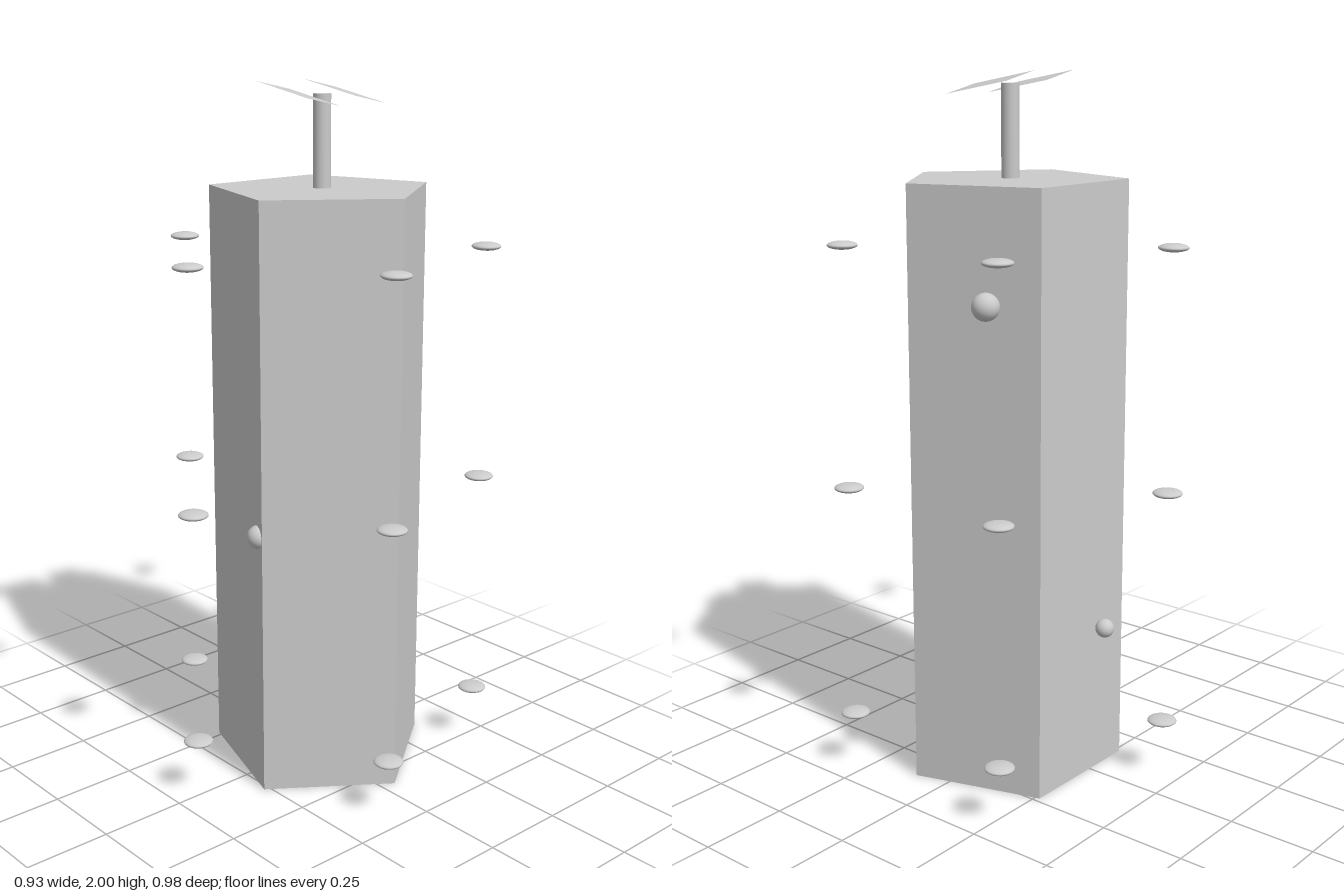
import * as THREE from 'three';

const AXIS_X = 0.043; // vertical axis of the tower
const BODY_HEIGHT = 1.71;

export function createModel() {
  const group = new THREE.Group();
  const material = new THREE.MeshStandardMaterial({ color: 0xcccccc });
  const flat = new THREE.MeshStandardMaterial({ color: 0xcccccc, flatShading: true });
  const thin = new THREE.MeshStandardMaterial({ color: 0xcccccc, side: THREE.DoubleSide });

  const add = (name, geometry, mat, x, y, z) => {
    const mesh = new THREE.Mesh(geometry, mat);
    mesh.name = name;
    mesh.position.set(x, y, z);
    group.add(mesh);
    return mesh;
  };

  // Five-sided tower with one corner facing forward
  add('towerBody', new THREE.CylinderGeometry(0.326, 0.326, BODY_HEIGHT, 5), flat, AXIS_X, BODY_HEIGHT / 2, 0);

  // Mast on the roof
  add('mast', new THREE.CylinderGeometry(0.025, 0.025, 0.255, 24), material, AXIS_X, BODY_HEIGHT + 0.1275, 0);

  // Two thin panels, both tilted the same way
  const panel = new THREE.PlaneGeometry(0.127, 0.214).rotateX(-Math.PI / 2);
  for (const [name, x] of [['rightPanel', -0.042], ['leftPanel', 0.129]]) {
    const mesh = add(name, panel, thin, x, 1.968, -0.002);
    mesh.rotation.set(0.172, 0, -0.208);
  }

  // Three rings of five floating discs around the tower
  const disc = new THREE.SphereGeometry(0.042, 24, 16).scale(1, 0.28, 1);
  for (const y of [0.173, 0.857, 1.54]) {
    for (let i = 0; i < 5; i++) {
      const a = Math.PI + (i * Math.PI * 2) / 5;
      add('floatingDisc', disc, material, AXIS_X + 0.469 * Math.cos(a), y, 0.469 * Math.sin(a));
    }
  }

  // Small balls on the walls: x, y, z, radius
  const balls = [
    [0.31, 1.40, -0.138, 0.038],
    [-0.251, 0.77, 0.068, 0.034],
    [-0.028, 0.44, -0.291, 0.027],
  ];
  for (const [x, y, z, r] of balls) {
    add('wallBall', new THREE.SphereGeometry(r, 24, 16), material, x, y, z);
  }

  return group;
}
